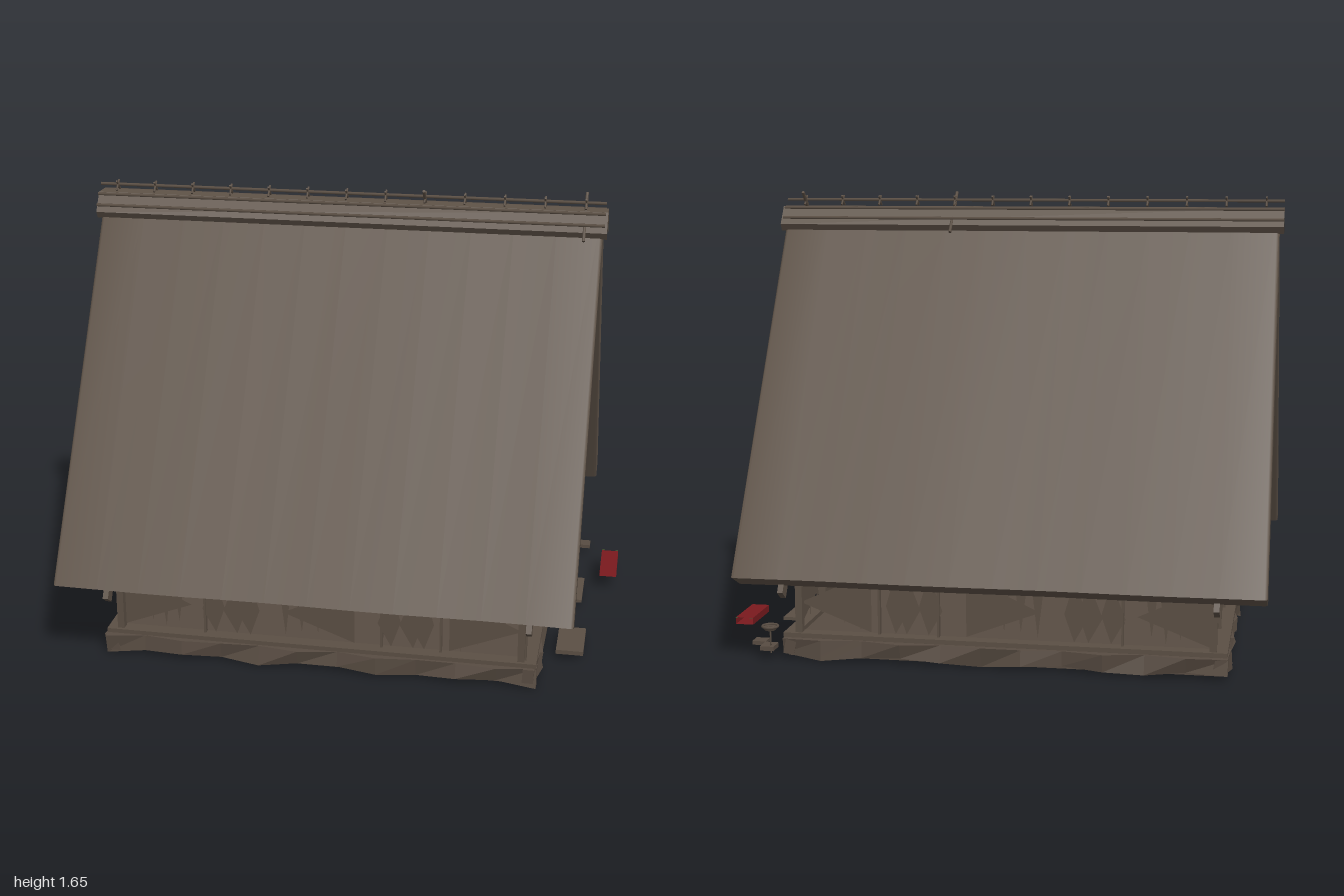
import * as THREE from 'three';
import { toCreasedNormals } from 'three/addons/utils/BufferGeometryUtils.js';

export function createModel() {
  const house = new THREE.Group();
  house.name = 'thatchedHouse';
  const mat = (name, color, side = THREE.FrontSide) => {
    const m = new THREE.MeshStandardMaterial({ color, side });
    m.name = name;
    return m;
  };
  const thatch = mat('thatch', 0x5f5348);
  const wood = mat('wood', 0x5b4f44, THREE.DoubleSide);
  const stone = mat('stone', 0x584c42);
  const red = mat('redCloth', 0x7a1a1e, THREE.DoubleSide);
  const paper = mat('lanternPaper', 0xc99f68);
  const green = mat('greenTrim', 0x3c4a2c, THREE.DoubleSide);

  const add = (name, geo, m, x = 0, y = 0, z = 0, parent = house) => {
    const mesh = new THREE.Mesh(geo, m);
    mesh.name = name;
    mesh.position.set(x, y, z);
    parent.add(mesh);
    return mesh;
  };
  const box = (name, m, sx, sy, sz, x, y, z, parent) =>
    add(name, new THREE.BoxGeometry(sx, sy, sz), m, x, y, z, parent);
  const shapeOf = pts => new THREE.Shape(pts.map(p => new THREE.Vector2(p[0], p[1])));
  // Extrudes a (z, y) section along x, optionally with rounded ends
  const alongX = (pts, x0, x1, round = 0, steps = 1) => {
    const g = new THREE.ExtrudeGeometry(shapeOf(pts.map(p => [-p[0], p[1]])), {
      depth: x1 - x0 - 2 * round, steps, bevelEnabled: round > 0,
      bevelThickness: round, bevelSize: round / 2, bevelOffset: -round / 2, bevelSegments: 2,
    });
    g.translate(0, 0, x0 + round);
    g.rotateY(Math.PI / 2);
    return g;
  };
  // Round stick between two points
  const stick = (name, a, b, r, m, parent) => {
    const A = new THREE.Vector3(...a), B = new THREE.Vector3(...b);
    const s = add(name, new THREE.CylinderGeometry(r, r, A.distanceTo(B), 6), m, 0, 0, 0, parent);
    s.position.copy(A).add(B).multiplyScalar(0.5);
    s.quaternion.setFromUnitVectors(new THREE.Vector3(0, 1, 0), B.sub(A).normalize());
  };
  // Flat boards: one kind in an x-y plane, one in a z-y plane
  const panelXY = (name, pts, z, parent) => add(name, new THREE.ShapeGeometry(shapeOf(pts)), wood, 0, 0, z, parent);
  const panelZY = (name, pts, x, parent) => {
    const g = new THREE.ShapeGeometry(shapeOf(pts.map(p => [-p[0], p[1]])));
    add(name, g.rotateY(Math.PI / 2), wood, x, 0, 0, parent);
  };

  // Thick thatched roof with slightly uneven ends and eaves
  const roof = alongX([[-0.778, 0.328], [-0.70, 0.288], [0, 1.44], [0.70, 0.288], [0.778, 0.328],
    [0.025, 1.57], [-0.025, 1.57]], -0.972, 0.88, 0.01, 12);
  const rp = roof.attributes.position;
  for (let i = 0; i < rp.count; i++) {
    const x = rp.getX(i), y = rp.getY(i), z = rp.getZ(i);
    rp.setX(i, x + 0.004 * Math.sin(y * 9 + z * 3));
    rp.setZ(i, z + 0.003 * Math.sin(x * 8) * Math.sign(z) * Math.min(1, Math.abs(z) * 2));
  }
  add('thatchRoof', toCreasedNormals(roof, 0.7), thatch);

  // Rafters under both roof ends
  for (const [x0, x1] of [[0.712, 0.732], [-0.81, -0.79]])
    add('rafterPair', alongX([[-0.728, 0.268], [-0.69, 0.24], [0, 1.385], [0.69, 0.24], [0.728, 0.268], [0, 1.465]], x0, x1), wood);

  // Ridge cap, lashed poles and pegs
  const ridge = new THREE.Group();
  ridge.name = 'ridge';
  house.add(ridge);
  add('ridgeCap', alongX([[-0.075, 1.53], [-0.06, 1.505], [0, 1.56], [0.06, 1.505], [0.075, 1.53],
    [0.03, 1.597], [-0.03, 1.597]], -0.985, 0.90), thatch, 0, 0, 0, ridge);
  for (const [y, z] of [[1.622, 0], [1.592, 0.04], [1.592, -0.04], [1.555, 0.064], [1.555, -0.064]])
    stick('ridgePole', [-0.985, y, z], [0.892, y, z], 0.006, wood, ridge);
  for (let i = 0; i < 13; i++) for (const s of [1, -1]) {
    const x = -0.92 + i * 0.145;
    stick('ridgePeg', [x, 1.602, -s * 0.02], [x, 1.636, s * 0.014], 0.004, wood, ridge);
  }
  stick('lashedStick', [0.82, 1.505, 0.10], [0.82, 1.65, -0.04], 0.006, wood, ridge);
  stick('lashedStick', [0.24, 1.505, -0.10], [0.24, 1.65, 0.04], 0.006, wood, ridge);

  // Base slab with a rim of rough stones
  box('floorSlab', stone, 1.54, 0.07, 1.22, -0.04, 0.045, 0);
  for (const s of [1, -1])
    box('sill', wood, 1.58, 0.016, 0.05, -0.045, 0.088, s * 0.60);
  for (const x of [0.72, -0.81]) box('sill', wood, 0.05, 0.016, 1.22, x, 0.088, 0);
  const stoneAt = (i, len, x, z, turn) => {
    const g = new THREE.BoxGeometry(len, 0.075, 0.04);
    const p = g.attributes.position;
    for (let k = 0; k < p.count; k++) {
      const end = p.getX(k) > 0 ? 1 : 0, up = p.getY(k) > 0;
      if (!up) p.setY(k, p.getY(k) + 0.022 * Math.abs(Math.sin((i + end) * 2.3)));
      p.setZ(k, p.getZ(k) + 0.014 * Math.sin((i + end) * 3.7 + (up ? 1.5 : 0)));
    }
    const m = add('baseStone', toCreasedNormals(g, 0.1), stone, x, 0.0375, z);
    m.rotation.y = turn;
  };
  for (let i = 0; i < 11; i++) for (const s of [1, -1])
    stoneAt(i + (s < 0 ? 20 : 0), 0.144, -0.765 + i * 0.144, s * 0.61, 0);
  for (let i = 0; i < 9; i++) for (const x of [0.728, -0.815])
    stoneAt(i + (x < 0 ? 30 : 5), 0.14, x, -0.56 + i * 0.14, Math.PI / 2);

  // Long walls: posts, top beam and broken boarding
  for (const s of [1, -1]) {
    const wall = new THREE.Group();
    wall.name = s > 0 ? 'frontWall' : 'backWall';
    house.add(wall);
    const z = s * 0.585;
    box('topBeam', wood, 1.48, 0.03, 0.03, -0.045, 0.335, z, wall);
    for (const x of [-0.785, 0.70]) box('cornerPost', wood, 0.016, 0.34, 0.025, x, 0.26, z, wall);
    for (const x of [-0.47, 0.185, 0.40]) box('wallPost', wood, 0.008, 0.24, 0.02, x, 0.21, z, wall);
    for (const [x0, x1] of [[-0.78, -0.52], [0.085, -0.18], [0.43, 0.69]])
      panelXY('wallBoard', [[x0, 0.10], [x1, 0.2], [x0, 0.32]], z, wall);
    for (const x of [-0.43, -0.35, -0.30, 0.22, 0.30, 0.34])
      panelXY('shutter', [[x - 0.05, 0.19], [x, 0.10], [x + 0.035, 0.2], [x, 0.32]], z + s * 0.004, wall);
    for (const x of [-0.67, -0.62, -0.57, -0.17, -0.11, -0.05, 0.47, 0.53])
      panelXY('splitBoard', [[x - 0.025, 0.32], [x, 0.10 + 0.03 * Math.abs(Math.sin(x * 20))], [x + 0.025, 0.32]], z - s * 0.004, wall);
  }

  // Gable ends
  for (const s of [1, -1]) {
    const gable = new THREE.Group();
    gable.name = s > 0 ? 'leftGable' : 'rightGable';
    house.add(gable);
    const x = s > 0 ? 0.69 : -0.785, out = d => x + s * d;
    add('gableWall', alongX([[-0.585, 0.43], [0.585, 0.43], [0, 1.40]], x - 0.01, x + 0.01), wood, 0, 0, 0, gable);
    // Floor beams, posts and battens
    for (const [y, w, h, tilt] of [[1.045, 0.42, 0.022, 0.04], [0.75, 0.78, 0.022, -0.02], [0.44, 1.17, 0.03, 0.015]])
      box('gableBeam', wood, 0.03, h, w, out(0.008), y, 0, gable).rotation.x = -tilt;
    box('lowerBeam', wood, 0.03, 0.024, 1.22, out(0.004), 0.317, -0.015, gable);
    for (const z of [-0.6, -0.3, 0, 0.3, 0.6]) box('gablePost', wood, 0.025, 0.35, 0.028, x, 0.265, z, gable);
    for (const [z, y0, y1] of [[0.42, 0.47, 0.69], [0.25, 0.47, 0.66], [0.19, 0.47, 0.59], [-0.19, 0.47, 0.59],
      [-0.30, 0.47, 0.58], [-0.42, 0.47, 0.60], [-0.14, 0.80, 1.03], [-0.235, 0.87, 1.02], [0.235, 0.95, 1.02]])
      box('gableBatten', wood, 0.008, y1 - y0, 0.006, out(0.013), (y0 + y1) / 2, z, gable);
    // Window shutters, standing slightly proud of the wall
    const windows = [
      [[-0.03, 1.14], [0, 1.09], [0.03, 1.14], [0, 1.19]],
      [[-0.10, 0.82], [0.10, 0.82], [0.06, 0.965], [0.03, 0.89], [0, 0.965], [-0.03, 0.89], [-0.06, 0.965]],
      [[0.04, 0.60], [0.08, 0.525], [0.12, 0.60], [0.08, 0.675]],
      [[-0.12, 0.60], [-0.08, 0.525], [0, 0.525], [0.04, 0.60], [0, 0.68], [-0.08, 0.68]],
    ];
    for (const w of windows)
      add('windowShutter', alongX(w, out(0.014) - 0.004, out(0.014) + 0.004), wood, 0, 0, 0, gable);
    // Lower boarding with open gaps
    const boards = [
      [[0.585, 0.30], [0.585, 0.17], [0.44, 0.10], [0.44, 0.30]], [[0.44, 0.31], [0.44, 0.10], [0.33, 0.11], [0.32, 0.30]],
      [[0.57, 0.10], [0.50, 0.26], [0.46, 0.11]], [[0.28, 0.31], [0.28, 0.12], [0.23, 0.10], [0.15, 0.10], [0.15, 0.31]],
      [[0.15, 0.31], [0.15, 0.10], [0.10, 0.11], [0.02, 0.29]], [[0.08, 0.20], [0.06, 0.10], [0.02, 0.10], [0.02, 0.24]],
      [[-0.02, 0.24], [-0.05, 0.10], [-0.29, 0.10], [-0.29, 0.31], [-0.04, 0.30]],
      [[-0.33, 0.20], [-0.60, 0.10], [-0.60, 0.30]], [[-0.33, 0.31], [-0.36, 0.11], [-0.41, 0.31]], [[-0.42, 0.31], [-0.46, 0.12], [-0.5, 0.31]],
      [[-0.5, 0.31], [-0.54, 0.12], [-0.59, 0.31]],
      [[0.57, 0.38], [0.32, 0.34], [0.32, 0.41]], [[0.28, 0.335], [0.02, 0.375], [0.28, 0.415]],
      [[-0.02, 0.415], [-0.28, 0.40], [-0.02, 0.335]], [[-0.32, 0.41], [-0.58, 0.415], [-0.36, 0.335]],
    ];
    for (const b of boards) panelZY('lowerBoard', b, out(0.004), gable);
  }

  // Hanging lanterns
  for (const z of [0.465, -0.325]) {
    const lantern = new THREE.LatheGeometry([[0.001, -0.04], [0.014, -0.036], [0.028, 0.015], [0.023, 0.036], [0.001, 0.04]]
      .map(p => new THREE.Vector2(...p)), 7);
    add('lantern', toCreasedNormals(lantern, 0.3), paper, 0.795, 0.352, z);
  }

  // Yard: stepping slabs, bench cloth with green corner tabs, small water basin
  box('entranceStep', wood, 0.10, 0.016, 0.19, 0.85, 0.03, 0.295);
  box('steppingSlab', wood, 0.10, 0.012, 0.20, 0.82, 0.035, -0.13);
  const flat = (name, m, w, d, x, y, z) => add(name, new THREE.PlaneGeometry(w, d).rotateX(-Math.PI / 2), m, x, y, z);
  for (const y of [0.058, 0.084]) flat('benchCloth', red, 0.066, 0.19, 0.962, y, -0.32);
  for (const x of [0.929, 0.995])
    add('benchClothSide', new THREE.PlaneGeometry(0.19, 0.026).rotateY(Math.PI / 2), red, x, 0.071, -0.32);
  for (const x of [0.935, 0.989]) flat('clothTab', green, 0.01, 0.01, x, 0.084, -0.421);
  add('basinRim', new THREE.TorusGeometry(0.028, 0.005, 6, 12).rotateX(Math.PI / 2), stone, 0.79, 0.12, -0.635);
  add('basin', new THREE.CylinderGeometry(0.026, 0.02, 0.012, 10), stone, 0.79, 0.112, -0.635);
  stick('basinStand', [0.79, 0.02, -0.63], [0.79, 0.112, -0.635], 0.003, wood);
  box('gardenStone', stone, 0.05, 0.016, 0.06, 0.80, 0.04, -0.62);
  box('gardenStone', stone, 0.05, 0.014, 0.05, 0.85, 0.04, -0.56);
  return house;
}
